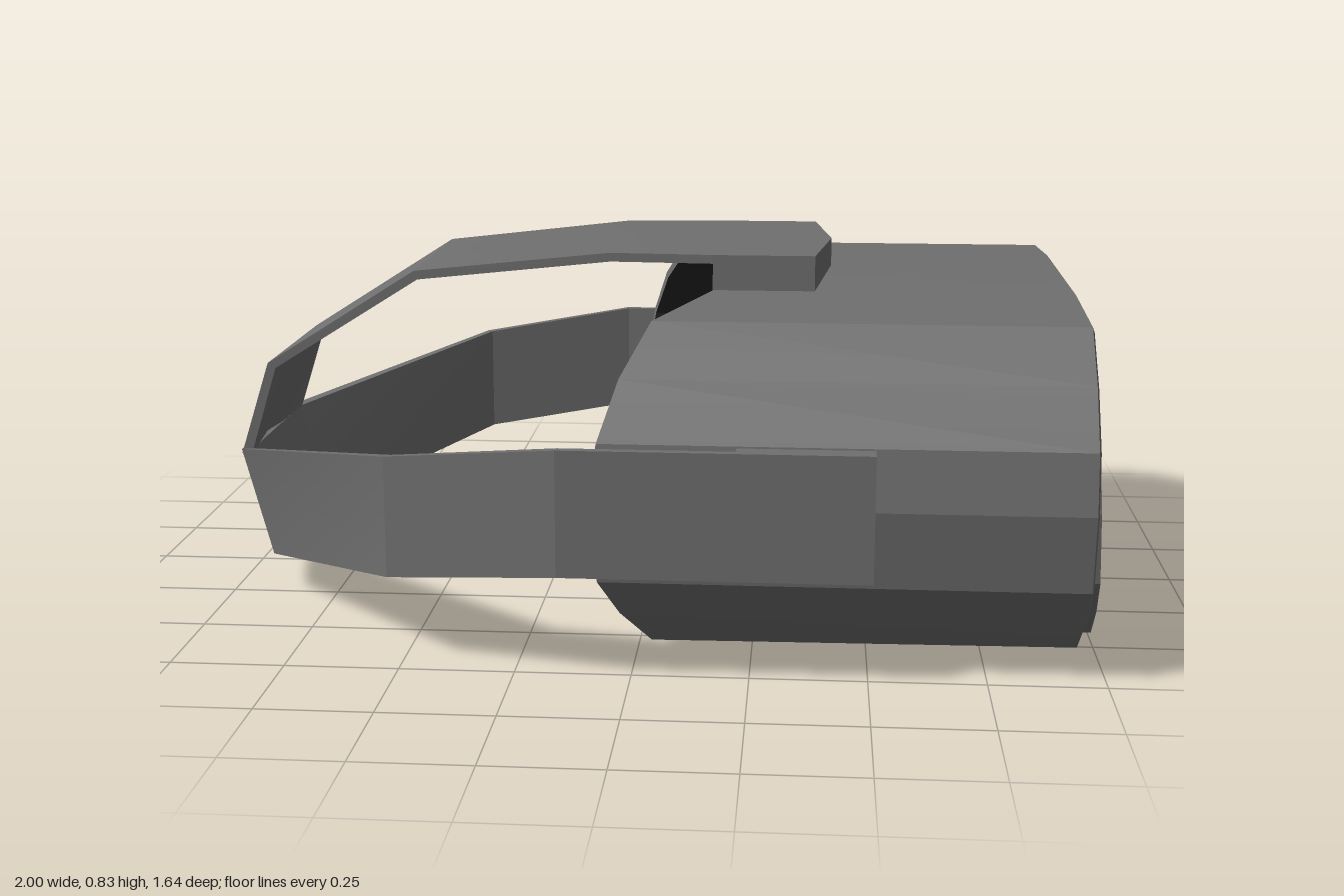
import * as THREE from 'three';
import { toCreasedNormals } from 'three/addons/utils/BufferGeometryUtils.js';

const makeMaterial = (color) => new THREE.MeshStandardMaterial({ color, side: THREE.DoubleSide });
const darkGrey = makeMaterial(0x6f6f6f);
const nearBlack = makeMaterial(0x262626);

// Skins a row of equal-length closed cross-sections, with optional end caps.
function loft(name, loops, { capStart = true, capEnd = true, inward = false, material = darkGrey } = {}) {
  const tris = [];
  const n = loops[0].length;
  for (let i = 0; i < loops.length - 1; i++) {
    for (let j = 0; j < n; j++) {
      const k = (j + 1) % n;
      const [a, b, c, d] = [loops[i][j], loops[i][k], loops[i + 1][k], loops[i + 1][j]];
      tris.push([a, b, c], [a, c, d]);
    }
  }
  const cap = (loop, flip) => {
    const mid = [0, 1, 2].map((q) => loop.reduce((s, p) => s + p[q], 0) / n);
    loop.forEach((p, j) => {
      const next = loop[(j + 1) % n];
      tris.push(flip ? [mid, next, p] : [mid, p, next]);
    });
  };
  if (capStart) cap(loops[0], true);
  if (capEnd) cap(loops[loops.length - 1], false);

  // Turn the faces outward, or inward for a lining, by the sign of the volume
  const v = (p) => new THREE.Vector3(p[0], p[1] - 0.38, p[2]);
  const volume = tris.reduce((s, [a, b, c]) => s + v(a).dot(v(b).cross(v(c))), 0);
  if ((volume < 0) !== inward) tris.forEach((t) => t.reverse());

  const geometry = new THREE.BufferGeometry();
  geometry.setAttribute('position', new THREE.Float32BufferAttribute(tris.flat(2), 3));
  const mesh = new THREE.Mesh(toCreasedNormals(geometry, 0.28), material);
  mesh.name = name;
  return mesh;
}

// Half outline of the visor: [z, y, x of the face-side rim]
const half = [
  [0, 0.765, 0.36], [0.29, 0.75, 0.145], [0.58, 0.733, 0.03], [0.69, 0.63, -0.03],
  [0.77, 0.51, -0.07], [0.79, 0.38, -0.09], [0.765, 0.21, -0.07], [0.69, 0.118, -0.03],
  [0.575, 0.018, 0.03], [0.29, 0.009, 0.145], [0, 0, 0.36],
];
const outline = [...half, ...half.slice(1, -1).reverse().map(([z, y, x]) => [-z, y, x])];

// Face-side rim, shrunk toward its middle
const rimLoop = (sz, sy, dx) =>
  outline.map(([z, y, x]) => [x + dx, 0.385 + (y - 0.385) * sy, z * sz]);

// Front outline, shrunk toward its middle; x may depend on height and side
const frontLoop = (sz, sy, xAt) => outline.map(([z, y]) => {
  const py = 0.385 + (THREE.MathUtils.clamp(y, 0.025, 0.75) - 0.385) * sy;
  return [xAt(py, z * sz), py, z * sz];
});

function makeVisor() {
  const group = new THREE.Group();
  group.name = 'visor';
  // Open shell with a narrow edge at the face and a lip turned in at the front
  group.add(loft('shell', [
    rimLoop(0.975, 0.95, 0.005),
    rimLoop(1, 1, 0),
    frontLoop(1, 1, () => 0.955),
    frontLoop(0.985, 0.965, () => 0.96),
    frontLoop(0.968, 0.92, () => 0.945),
  ], { capStart: false, capEnd: false }));
  // Dark lining of the face opening
  group.add(loft('lining', [
    rimLoop(0.975, 0.95, 0.005),
    frontLoop(0.968, 0.92, () => 0.93),
  ], { capStart: false, inward: true, material: nearBlack }));
  // Slightly tilted and bowed front panel
  group.add(loft('frontPanel', [
    frontLoop(0.968, 0.92, () => 0.94),
    frontLoop(0.968, 0.92, (y, z) =>
      0.95 + 0.03 * (0.72 - y) / 0.67 + 0.02 * (1 - Math.abs(z) / 0.79)),
  ]));
  return group;
}

// Band running from one side, round the back of the head, to the other side
function makeHeadBand() {
  // [x top, y top, x bottom, y bottom, z, inward x, inward z]
  const stations = [
    [0.505, 0.507, 0.505, 0.235, 0.82, 0, -0.02],
    [-0.15, 0.507, -0.15, 0.235, 0.82, 0.004, -0.02],
    [-0.53, 0.457, -0.53, 0.19, 0.705, 0.013, -0.016],
    [-0.972, 0.345, -0.905, 0.088, 0.235, 0.025, -0.01],
    [-1, 0.32, -0.935, 0.06, 0, 0.025, 0],
  ];
  const mirrored = stations.slice(0, -1).reverse()
    .map(([a, b, c, d, z, ix, iz]) => [a, b, c, d, -z, ix, -iz]);
  return loft('headBand', [...stations, ...mirrored].map(([xt, yt, xb, yb, z, ix, iz]) => [
    [xt, yt, z], [xb, yb, z], [xb + ix, yb, z + iz], [xt + ix, yt, z + iz],
  ]));
}

// Band arching over the head and meeting the back of the head band
function makeTopBand() {
  // [x, y, half width, inward x, inward y, backward bow]
  const stations = [
    [0.16, 0.83, 0.285, 0, -0.02, 0],
    [-0.09, 0.83, 0.27, 0.002, -0.02, 0],
    [-0.545, 0.78, 0.252, 0.008, -0.02, 0],
    [-0.9, 0.555, 0.237, 0.018, -0.012, 0],
    [-0.972, 0.335, 0.232, 0.022, -0.006, 0.026],
  ];
  return loft('topBand', stations.map(([x, y, w, ix, iy, bow]) => [
    [x, y, w], [x - bow, y, 0], [x, y, -w],
    [x + ix, y + iy, -w], [x + ix - bow, y + iy, 0], [x + ix, y + iy, w],
  ]));
}

// Pad with a pointed front that fixes the top band to the shell
function makeTopMount() {
  const plan = [[0.145, 0.285], [0.375, 0.285], [0.413, 0], [0.375, -0.285], [0.145, -0.285]];
  return loft('topMount', [0.745, 0.83].map((y) => plan.map(([x, z]) => [x, y, z])));
}

export function createModel() {
  const model = new THREE.Group();
  model.name = 'headset';
  model.add(makeVisor(), makeHeadBand(), makeTopBand(), makeTopMount());
  // Pads between the head band and the shell
  for (const side of [1, -1]) {
    const pad = new THREE.Mesh(new THREE.BoxGeometry(0.285, 0.272, 0.045), darkGrey);
    pad.name = side > 0 ? 'leftMount' : 'rightMount';
    pad.position.set(0.3625, 0.371, side * 0.7955);
    model.add(pad);
  }
  return model;
}
